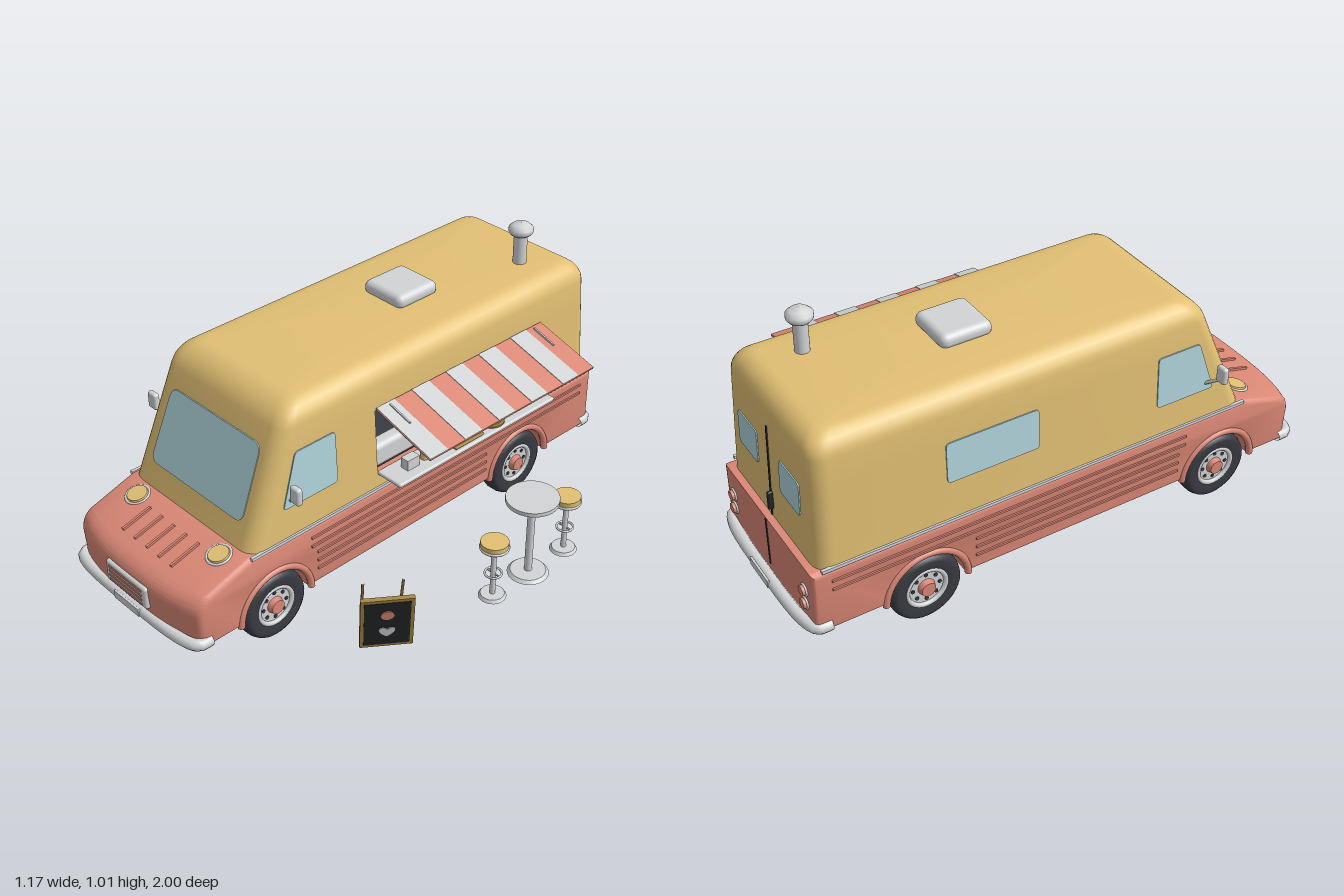
import * as THREE from 'three';
import { toCreasedNormals } from 'three/addons/utils/BufferGeometryUtils.js';
import { RoundedBoxGeometry } from 'three/addons/geometries/RoundedBoxGeometry.js';

const paint = (name, color, side = THREE.FrontSide) => {
  const m = new THREE.MeshStandardMaterial({ color, side });
  m.name = name;
  return m;
};

export function createModel() {
  const yellow = paint('yellow', 0xe2c074), coral = paint('coral', 0xdb8876);
  const steel = paint('steel', 0xd2d4d6, THREE.DoubleSide), glass = paint('glass', 0xb0d5dc);
  const dark = paint('charcoal', 0x393b42), black = paint('black', 0x232428);
  const wood = paint('wood', 0xa28441), brown = paint('brown', 0x7c4636);

  const model = new THREE.Group();
  model.name = 'foodTruckScene';
  const truck = new THREE.Group();
  truck.name = 'truck';
  truck.position.x = -0.19;
  model.add(truck);

  const add = (parent, name, geo, mat, x = 0, y = 0, z = 0, rx = 0, ry = 0, rz = 0) => {
    const m = new THREE.Mesh(geo, mat);
    m.name = name;
    m.position.set(x, y, z);
    m.rotation.set(rx, ry, rz);
    parent.add(m);
    return m;
  };
  const group = (parent, name, x, y, z) => {
    const g = new THREE.Group();
    g.name = name;
    g.position.set(x, y, z);
    parent.add(g);
    return g;
  };
  const box = (w, h, d) => new THREE.BoxGeometry(w, h, d);
  const rbox = (w, h, d, r) => new RoundedBoxGeometry(w, h, d, 3, r);
  const cyl = (r, h, r2 = r) => new THREE.CylinderGeometry(r2, r, h, 28);
  const ring = (r, t) => new THREE.TorusGeometry(r, t, 8, 28);
  const rod = (parent, name, p, q, r, mat) => {
    const path = new THREE.LineCurve3(new THREE.Vector3(...p), new THREE.Vector3(...q));
    return add(parent, name, new THREE.TubeGeometry(path, 1, r, 8), mat);
  };
  const rounded = (pts, r) => {
    const v = pts.map((p) => new THREE.Vector2(...p)), s = new THREE.Shape();
    v.forEach((p, i) => {
      const toward = (q) => q.clone().sub(p).setLength(r).add(p);
      const a = toward(v[(i + v.length - 1) % v.length]), b = toward(v[(i + 1) % v.length]);
      if (i) s.lineTo(a.x, a.y); else s.moveTo(a.x, a.y);
      s.quadraticCurveTo(p.x, p.y, b.x, b.y);
    });
    return s;
  };
  const rect = (a0, a1, b0, b1) => [[a0, b0], [a1, b0], [a1, b1], [a0, b1]];

  // Upper shell: rounded rectangles stacked upward, with a serving opening on its left
  const wall = (y) => 0.325 - 0.048 * (y - 0.38);
  const frontZ = (y) => 0.72 - 0.417 * (y - 0.38);
  const backZ = (y) => -0.93 + 0.03 * (y - 0.38);
  const levels = [[0.37, 0], [0.45, 0], [0.69, 0], [0.78, 0]];
  for (let k = 1; k <= 6; k++) {
    const t = (k / 6) * Math.PI / 2;
    levels.push([0.78 + 0.075 * Math.sin(t), 0.075 * (1 - Math.cos(t))]);
  }
  const pos = [], idx = [], N = 30;
  for (const [y, inset] of levels) {
    const w = wall(y) - inset, f = frontZ(y) - inset, b = backZ(y) + inset, r = 0.06 - inset * 0.4;
    [[w - r, f - r], [w - r, b + r], [-w + r, b + r], [-w + r, f - r]].forEach(([cx, cz], c) => {
      for (let k = 0; k <= 6; k++) {
        const t = Math.PI / 2 * (1 - c - k / 6);
        pos.push(cx + r * Math.cos(t), y, cz + r * Math.sin(t));
      }
      if (c === 0) pos.push(w, y, 0.16, w, y, -0.62);
    });
  }
  for (let i = 0; i < levels.length - 1; i++) {
    for (let j = 0; j < N; j++) {
      if (i === 1 && j === 7) continue;
      const a = i * N + j, b = i * N + (j + 1) % N;
      idx.push(a, b, b + N, a, b + N, a + N);
    }
  }
  const last = (levels.length - 1) * N;
  pos.push(0, 0.857, -0.2);
  for (let j = 0; j < N; j++) idx.push(last + N, last + j, last + (j + 1) % N);
  const shell = new THREE.BufferGeometry();
  shell.setAttribute('position', new THREE.Float32BufferAttribute(pos, 3));
  shell.setIndex(idx);
  add(truck, 'upperShell', toCreasedNormals(shell, 0.6), yellow);

  // Lower body: side outline with wheel arches, nose rounded in plan
  const wheelZ = [0.625, -0.555];
  const side = new THREE.Shape();
  side.moveTo(0.955, 0.13);
  side.lineTo(0.955, 0.375);
  side.lineTo(-0.72, 0.385);
  side.lineTo(-0.93, 0.33);
  side.quadraticCurveTo(-0.985, 0.31, -0.985, 0.26);
  side.lineTo(-0.975, 0.13);
  for (const z of wheelZ) {
    side.lineTo(-z - 0.145, 0.13);
    side.absarc(-z, 0.13, 0.145, Math.PI, 0, true);
  }
  const lower = new THREE.ExtrudeGeometry(side, { depth: 0.62, steps: 10, curveSegments: 14, bevelThickness: 0.02, bevelSize: 0.02, bevelOffset: -0.02, bevelSegments: 3 });
  lower.translate(0, 0, -0.31).rotateY(Math.PI / 2);
  const lp = lower.attributes.position;
  for (let i = 0; i < lp.count; i++) {
    const x = Math.abs(lp.getX(i)) / 0.33, z = lp.getZ(i);
    if (z > 0.8) lp.setZ(i, z - ((z - 0.8) / 0.185) * 0.05 * x ** 3);
  }
  add(truck, 'lowerBody', toCreasedNormals(lower, 0.6), coral);

  // Thin panels that follow the sloping walls
  const faces = {
    front: (a, b, c) => [a, b, frontZ(b) + c],
    back: (a, b, c) => [-a, b, backZ(b) - c],
    left: (a, b, c) => [wall(b) + c, b, -a],
    right: (a, b, c) => [-wall(b) - c, b, a],
  };
  const panel = (name, pts, r, face, mat) => {
    const p2 = face === 'left' ? pts.map(([z, y]) => [-z, y]) : pts;
    const g = new THREE.ExtrudeGeometry(rounded(p2, r), { depth: 0.007, bevelEnabled: false, curveSegments: 6 });
    const p = g.attributes.position;
    for (let i = 0; i < p.count; i++) p.setXYZ(i, ...faces[face](p.getX(i), p.getY(i), p.getZ(i) - 0.003));
    g.computeVertexNormals();
    add(truck, name, g, mat);
  };
  panel('windscreen', [[-0.243, 0.465], [0.243, 0.465], [0.232, 0.718], [-0.232, 0.718]], 0.035, 'front', glass);
  for (const face of ['left', 'right']) {
    panel('cabWindow', [[0.575, 0.5], [0.34, 0.5], [0.34, 0.695], [0.51, 0.695]], 0.015, face, glass);
  }
  panel('kitchenWindow', rect(-0.47, -0.13, 0.53, 0.68), 0.015, 'right', glass);
  for (const s of [-1, 1]) panel('rearWindow', rect(s * 0.15 - 0.07, s * 0.15 + 0.07, 0.53, 0.655), 0.015, 'back', glass);
  panel('doorSeam', rect(-0.003, 0.003, 0.38, 0.73), 0.001, 'back', black);
  add(truck, 'lowerDoorSeam', box(0.006, 0.19, 0.006), black, 0, 0.275, -0.955);
  add(truck, 'doorHandle', rbox(0.014, 0.07, 0.02, 0.006), black, -0.012, 0.45, -0.938);

  // Kitchen inside the opening
  const kitchen = group(truck, 'kitchen', 0, 0, 0);
  add(kitchen, 'farWall', box(0.01, 0.28, 0.86), dark, -0.28, 0.58, -0.23);
  add(kitchen, 'farWindow', box(0.008, 0.15, 0.34), glass, -0.272, 0.605, -0.3);
  for (const y of [0.44, 0.715]) add(kitchen, 'floorAndCeiling', box(0.58, 0.01, 0.86), dark, 0, y, -0.23);
  for (const z of [0.2, -0.66]) add(kitchen, 'endWall', box(0.58, 0.28, 0.01), dark, 0, 0.58, z);
  add(kitchen, 'innerCounter', rbox(0.06, 0.09, 0.77, 0.02), steel, 0.27, 0.485, -0.23);
  add(kitchen, 'backCounter', box(0.12, 0.1, 0.8), steel, -0.2, 0.495, -0.23);
  add(kitchen, 'cooler', box(0.1, 0.09, 0.1), steel, -0.2, 0.59, 0.05);
  for (const z of [-0.37, -0.48]) add(kitchen, 'pan', cyl(0.05, 0.035), black, -0.19, 0.567, z);

  // Serving shelf with brackets and food
  const shelf = group(truck, 'servingShelf', 0.375, 0.45, -0.23);
  add(shelf, 'shelfBoard', rbox(0.115, 0.016, 0.78, 0.007), steel, 0, -0.008, 0);
  for (const z of [0.31, -0.31]) {
    rod(shelf, 'bracket', [-0.05, -0.08, z], [0, -0.015, z], 0.006, steel);
    add(shelf, 'napkinBox', box(0.035, 0.04, 0.055), steel, 0, 0.02, z * 0.93);
  }
  [yellow, coral].forEach((mat, k) => {
    add(shelf, 'sauceBottle', cyl(0.015, 0.055), mat, 0, 0.027, 0.22 - k * 0.035);
    add(shelf, 'bottleNozzle', cyl(0.014, 0.03, 0.003), mat, 0, 0.069, 0.22 - k * 0.035);
  });
  add(shelf, 'tray', rbox(0.09, 0.008, 0.14, 0.003), wood, 0, 0.004, 0.04);
  for (const z of [0, 0.04, 0.08]) add(shelf, 'sausage', new THREE.CapsuleGeometry(0.01, 0.03, 4, 10), brown, 0, 0.014, z, Math.PI / 2);
  const burger = group(shelf, 'burger', 0, 0, -0.11);
  add(burger, 'plate', cyl(0.05, 0.006), wood, 0, 0.003, 0);
  add(burger, 'lowerBun', cyl(0.038, 0.016), yellow, 0, 0.014, 0);
  add(burger, 'patty', cyl(0.042, 0.01), brown, 0, 0.027, 0);
  add(burger, 'upperBun', new THREE.SphereGeometry(0.04, 20, 8, 0, Math.PI * 2, 0, Math.PI / 2), yellow, 0, 0.032, 0).scale.y = 0.8;

  // Striped awning
  const awning = group(truck, 'awning', 0.4475, 0.6675, -0.24);
  awning.rotation.z = -0.286;
  add(awning, 'awningPanel', box(0.266, 0.008, 0.81), coral);
  add(awning, 'awningLining', box(0.25, 0.004, 0.79), steel, 0, -0.005, 0);
  for (let k = 0; k < 5; k++) add(awning, 'awningStripe', box(0.266, 0.004, 0.081), steel, 0, 0.004, 0.3645 - k * 0.162);
  for (const z of [0.355, -0.355]) add(awning, 'awningHinge', box(0.1, 0.006, 0.006), steel, -0.07, 0.008, z);

  // Trim strips and ribs along both sides
  for (const s of [-1, 1]) {
    add(truck, 'beltTrim', box(0.012, 0.012, 1.64), steel, s * 0.326, 0.382, -0.1);
    for (const y of [0.335, 0.3]) add(truck, 'sideRib', box(0.012, 0.008, 1.36), coral, s * 0.33, y, -0.21);
    for (const y of [0.265, 0.23, 0.195]) add(truck, 'sideRib', box(0.012, 0.008, 0.82), coral, s * 0.33, y, 0.035);
    // Mirrors
    add(truck, 'mirror', rbox(0.045, 0.065, 0.024, 0.01), steel, s * 0.377, 0.588, 0.565);
    rod(truck, 'mirrorArm', [s * 0.31, 0.52, 0.54], [s * 0.37, 0.565, 0.562], 0.006, steel);
    // Headlights and tail lights
    const lamp = group(truck, 'headlight', s * 0.222, 0.37, 0.77);
    lamp.rotation.x = 0.255;
    add(lamp, 'headlightLens', cyl(0.042, 0.018, 0.036), yellow);
    add(lamp, 'headlightRing', ring(0.042, 0.005), steel, 0, 0, 0, Math.PI / 2);
    for (const y of [0.225, 0.28]) {
      add(truck, 'tailLight', cyl(0.018, 0.02), coral, s * 0.265, y, -0.96, Math.PI / 2);
      add(truck, 'tailLightRing', ring(0.02, 0.004), steel, s * 0.265, y, -0.957);
    }
  }

  // Wheels with arches and wells
  const tyre = new THREE.LatheGeometry([[0.078, -0.034], [0.11, -0.04], [0.124, -0.032], [0.13, -0.015], [0.13, 0.015], [0.124, 0.032], [0.11, 0.04], [0.078, 0.034]].map((p) => new THREE.Vector2(...p)), 36);
  for (const z of wheelZ) {
    add(truck, 'wheelWell', box(0.48, 0.155, 0.288), dark, 0, 0.193, z);
    for (const s of [-1, 1]) {
      const wheel = group(truck, 'wheel', s * 0.289, 0.13, z);
      wheel.rotation.z = -s * Math.PI / 2;
      add(wheel, 'tyre', tyre, dark);
      add(wheel, 'rim', cyl(0.08, 0.05), steel);
      add(wheel, 'rimRing', ring(0.072, 0.009), steel, 0, 0.028, 0, Math.PI / 2);
      add(wheel, 'hub', cyl(0.034, 0.03, 0.026), coral, 0, 0.03, 0);
      for (let k = 0; k < 8; k++) {
        const t = k * Math.PI / 4;
        add(wheel, 'rimHole', cyl(0.007, 0.006), dark, 0.05 * Math.cos(t), 0.025, 0.05 * Math.sin(t));
      }
      add(truck, 'wheelArch', new THREE.TorusGeometry(0.152, 0.013, 8, 28, Math.PI), coral, s * 0.326, 0.13, z, 0, Math.PI / 2);
    }
  }

  // Bumpers, plates, grille and hood ribs
  for (const s of [-1, 1]) {
    const path = new THREE.CatmullRomCurve3([[-0.325, 0.9], [-0.322, 0.945], [-0.27, 0.967], [0, 0.978], [0.27, 0.967], [0.322, 0.945], [0.325, 0.9]].map(([x, z]) => new THREE.Vector3(x, 0.155, s * z)));
    add(truck, s > 0 ? 'frontBumper' : 'rearBumper', new THREE.TubeGeometry(path, 40, 0.021, 10), steel);
    add(truck, 'numberPlate', box(0.135, 0.03, 0.008), steel, 0, 0.16, s * 0.996);
  }
  add(truck, 'grille', rbox(0.222, 0.088, 0.024, 0.011), steel, 0, 0.238, 0.982);
  for (let k = 0; k < 4; k++) add(truck, 'grilleSlot', box(0.18, 0.009, 0.006), coral, 0, 0.211 + k * 0.018, 0.993);
  for (let k = -2; k <= 2; k++) add(truck, 'hoodRib', box(0.009, 0.014, 0.12), coral, k * 0.066, 0.355, 0.84, 0.256);

  // Roof vent and chimney
  add(truck, 'roofVent', rbox(0.19, 0.055, 0.19, 0.025), steel, 0, 0.872, -0.255);
  const chimney = group(truck, 'chimney', 0.14, 0.85, -0.72);
  add(chimney, 'pipe', cyl(0.025, 0.14), steel, 0, 0.06, 0);
  add(chimney, 'cap', new THREE.LatheGeometry([[0, 0.12], [0.038, 0.12], [0.045, 0.13], [0.045, 0.145], [0.03, 0.158], [0, 0.165]].map((p) => new THREE.Vector2(...p)), 28), steel);

  // Table and stools
  const seatSet = (name, z, h, top, thick, base, pole, mat) => {
    const g = group(model, name, 0.49, 0, z);
    add(g, 'top', cyl(top, thick), mat, 0, h - thick / 2, 0);
    add(g, 'pole', cyl(pole, h - thick), steel, 0, (h - thick) / 2, 0);
    add(g, 'base', cyl(base, 0.012, base * 0.85), steel, 0, 0.006, 0);
    return g;
  };
  seatSet('table', -0.235, 0.332, 0.095, 0.016, 0.075, 0.014, steel);
  for (const z of [-0.425, -0.05]) {
    const stool = seatSet('stool', z, 0.24, 0.05, 0.022, 0.05, 0.01, yellow);
    add(stool, 'seatRim', ring(0.048, 0.006), steel, 0, 0.216, 0, Math.PI / 2);
    add(stool, 'footRing', ring(0.03, 0.004), steel, 0, 0.1, 0, Math.PI / 2);
    add(stool, 'footBar', box(0.06, 0.005, 0.005), steel, 0, 0.1, 0);
  }

  // Menu board with its props
  const board = group(model, 'menuBoard', 0.425, 0.012, 0.4);
  board.rotation.set(0.2, 0.944, 0, 'YXZ');
  add(board, 'boardFrame', box(0.18, 0.245, 0.016), wood, 0, 0.123, 0);
  add(board, 'boardFace', box(0.155, 0.218, 0.006), black, 0, 0.123, 0.007);
  add(board, 'boardDrawing', cyl(0.022, 0.003), coral, 0, 0.17, 0.011, Math.PI / 2);
  const heart = new THREE.Shape();
  heart.moveTo(0, -0.028);
  heart.bezierCurveTo(-0.05, 0.005, -0.022, 0.035, 0, 0.012);
  heart.bezierCurveTo(0.022, 0.035, 0.05, 0.005, 0, -0.028);
  add(board, 'boardHeart', new THREE.ExtrudeGeometry(heart, { depth: 0.003, bevelEnabled: false }), steel, 0, 0.085, 0.01);
  rod(model, 'boardProp', [0.26, 0.004, 0.36], [0.325, 0.22, 0.41], 0.005, wood);
  rod(model, 'boardProp', [0.335, 0.004, 0.25], [0.4, 0.22, 0.295], 0.005, wood);
  return model;
}
